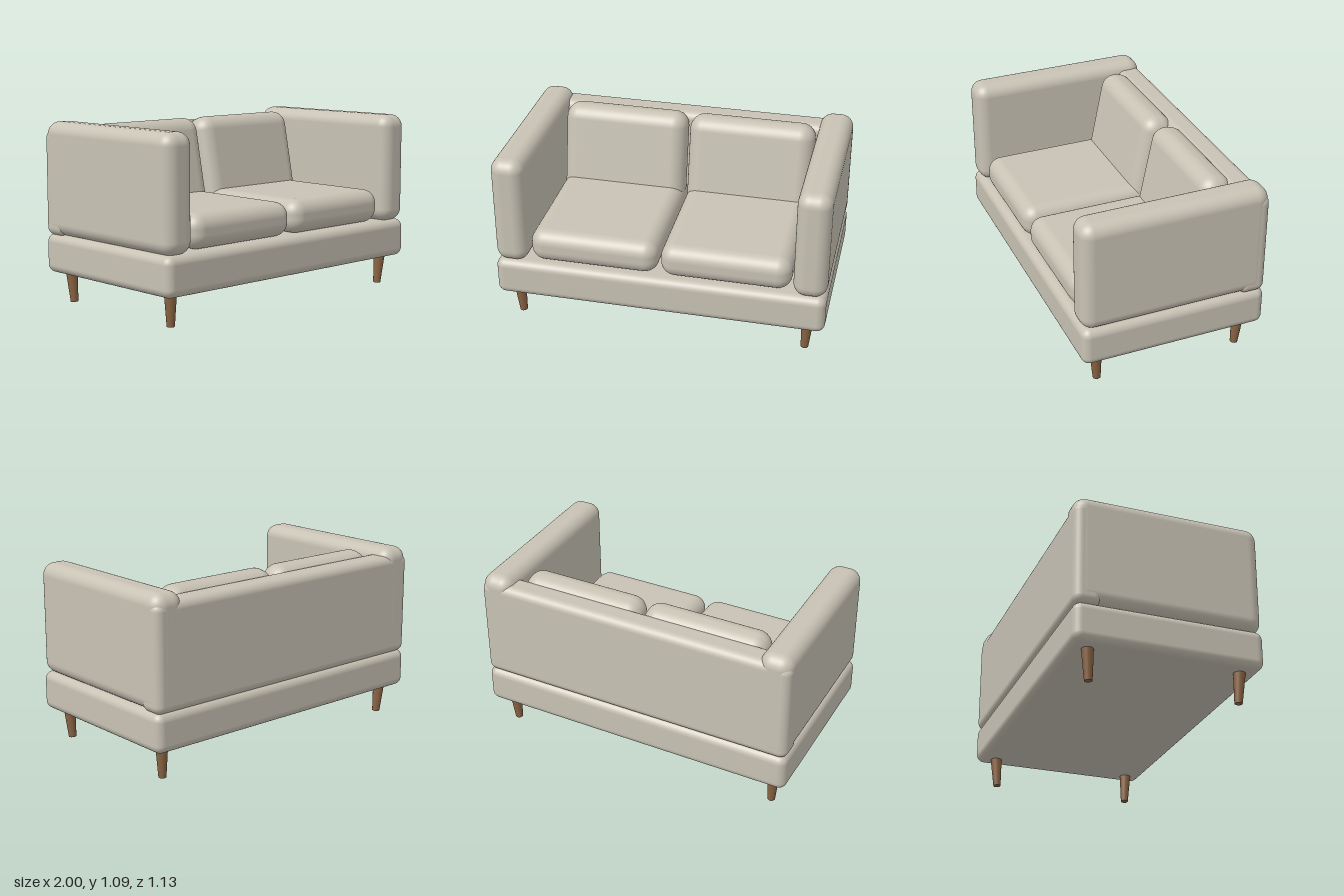
import * as THREE from 'three';
import { RoundedBoxGeometry } from 'three/addons/geometries/RoundedBoxGeometry.js';

export function createModel() {
  const model = new THREE.Group();
  model.name = 'sofa';

  const fabric = new THREE.MeshStandardMaterial({ color: 0xc8c2b4 });
  fabric.name = 'beige fabric';
  const wood = new THREE.MeshStandardMaterial({ color: 0x8b6544 });
  wood.name = 'brown wood';

  // Upholstered block with softly rounded edges
  function block(name, size, position, radius) {
    const mesh = new THREE.Mesh(new RoundedBoxGeometry(...size, 6, radius), fabric);
    mesh.name = name;
    mesh.position.set(...position);
    model.add(mesh);
    return mesh;
  }

  // Base frame and backrest
  block('base', [2, 0.235, 1.13], [0, 0.3, 0], 0.05);
  block('backrest', [1.998, 0.632, 0.165], [0, 0.724, -0.482], 0.05);

  for (const [side, s] of [['left', 1], ['right', -1]]) {
    // Armrest
    block(side + 'Armrest', [0.2, 0.675, 1.13], [s * 0.9, 0.7495, 0], 0.075);

    // Seat cushion
    block(side + 'SeatCushion', [0.78, 0.205, 0.94], [s * 0.398, 0.52, 0.07], 0.085);

    // Back cushion, leaning against the backrest
    const cushion = block(side + 'BackCushion', [0.78, 0.62, 0.2], [s * 0.398, 0.762, -0.306], 0.09);
    cushion.rotation.x = -0.2;

    // Tapered legs, feet angled slightly inward
    for (const [end, f] of [['Front', 1], ['Back', -1]]) {
      const leg = new THREE.Mesh(new THREE.CylinderGeometry(0.036, 0.023, 0.19, 24), wood);
      leg.name = side + end + 'Leg';
      leg.position.set(s * 0.885, 0.096, f * 0.447);
      leg.rotation.set(f * 0.05, 0, -s * 0.05);
      model.add(leg);
    }
  }

  return model;
}
